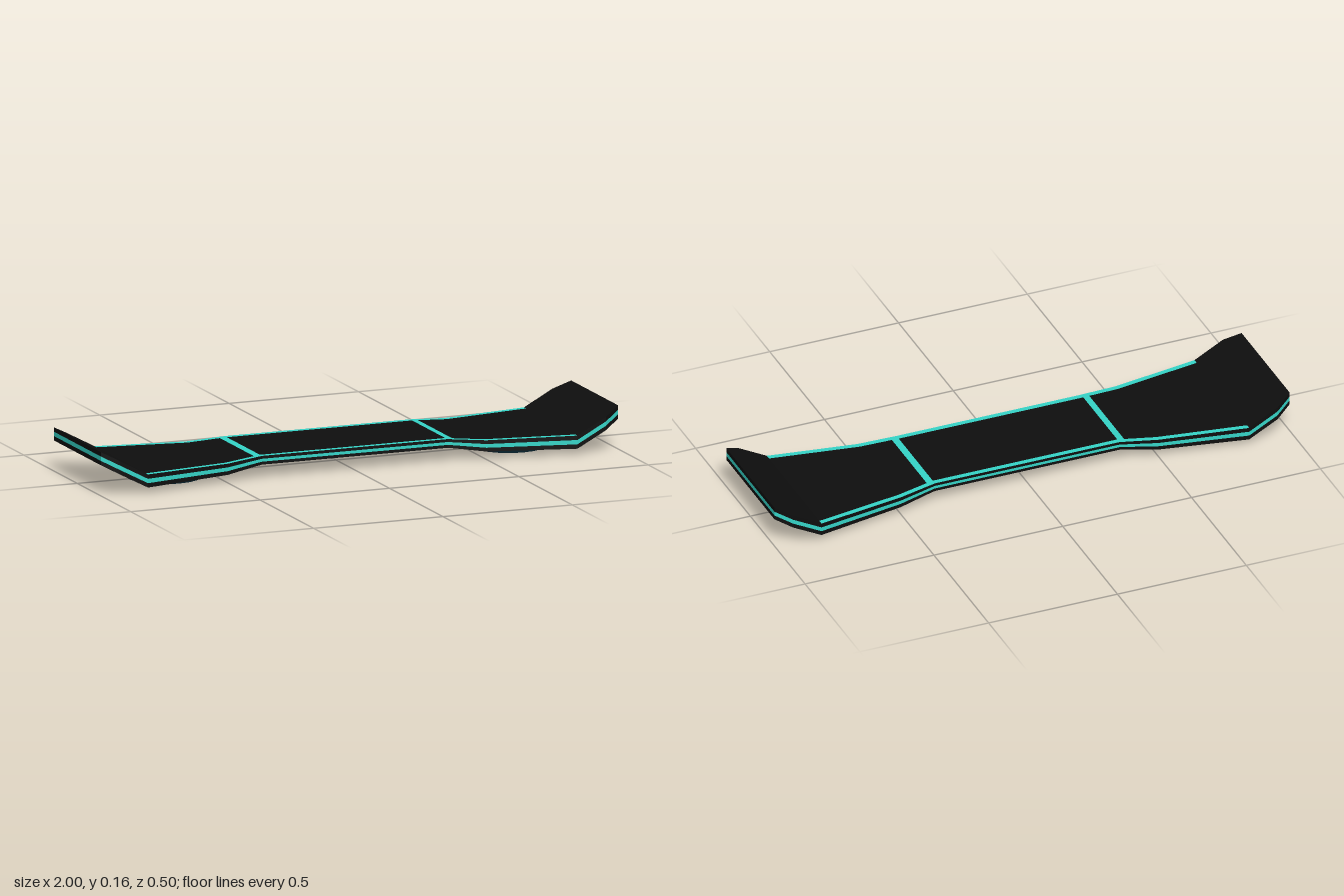
import * as THREE from 'three';

const paint = (color) => new THREE.MeshStandardMaterial({ color, flatShading: true });
const black = paint(0x0e0e0e);
const teal = paint(0x35d5c8);
const darkTeal = paint(0x0d3444);

// Deck cross-sections for x >= 0: x, half width, underside y, top y
const half = [
  [0.358, 0.175, 0.050, 0.082],
  [0.383, 0.179, 0.047, 0.080],
  [0.50, 0.197, 0.029, 0.070],
  [0.83, 0.25, 0.022, 0.070],
  [0.94, 0.25, 0.080, 0.129],
  [1.00, 0.22, 0.112, 0.160],
];
const sections = [...half.map(([x, ...r]) => [-x, ...r]).reverse(), ...half];

// Quads between two polylines of equal length
function strip(a, b) {
  const p = [];
  for (let i = 0; i + 1 < a.length; i++) {
    for (const v of [a[i], a[i + 1], b[i + 1], a[i], b[i + 1], b[i]]) p.push(...v);
  }
  const g = new THREE.BufferGeometry();
  g.setAttribute('position', new THREE.Float32BufferAttribute(p, 3));
  g.computeVertexNormals();
  return g;
}

export function createModel() {
  const group = new THREE.Group();
  const add = (name, geometry, material) => {
    const mesh = new THREE.Mesh(geometry, material);
    mesh.name = name;
    group.add(mesh);
    return mesh;
  };

  // Line along the deck: side is +1 (front) or -1 (back), t is 0 underside to 1 top
  const line = (list, side, t, inset = 0) =>
    list.map(([x, w, lo, hi]) => [x, lo + (hi - lo) * t, side * (w - inset)]);

  // Underside
  add('underside', strip(line(sections, -1, 0), line(sections, 1, 0)), black);

  // Side wall in three bands, the middle one a glowing stripe
  const rim = (t) => {
    const loop = [...line(sections, 1, t), ...line(sections, -1, t).reverse()];
    return [...loop, loop[0]];
  };
  ['lowerRim', 'rimStripe', 'upperRim'].forEach((name, i) =>
    add(name, strip(rim(i / 3), rim((i + 1) / 3)), i === 1 ? teal : black));

  // Top surface: panels, edge stripes and the two cross stripes
  const stripe = 0.02;
  for (let i = 0; i + 1 < sections.length; i++) {
    const pair = [sections[i], sections[i + 1]];
    const mid = Math.abs(pair[0][0] + pair[1][0]) / 2;
    const inset = mid < 0.83 ? stripe : 0;
    const isCross = mid > 0.358 && mid < 0.383;
    add(isCross ? 'crossStripe' : 'topPanel',
      strip(line(pair, 1, 1, inset), line(pair, -1, 1, inset)), isCross ? teal : black);
  }
  const inner = sections.filter(([x]) => Math.abs(x) <= 0.83);
  add('frontEdgeStripe', strip(line(inner, 1, 1), line(inner, 1, 1, stripe)), teal);
  add('backEdgeStripe', strip(line(inner, -1, 1, stripe), line(inner, -1, 1)), teal);

  // Tapered hover pads under each end
  for (const side of [-1, 1]) {
    const name = side > 0 ? 'left' : 'right';
    const wall = add(name + 'PadRing',
      new THREE.CylinderGeometry(0.158, 0.138, 0.032, 20, 1, true), darkTeal);
    wall.position.set(side * 0.665, 0.016, 0.004);
    const cap = add(name + 'PadFace', new THREE.CircleGeometry(0.138, 20), black);
    cap.rotation.set(Math.PI / 2, 0, Math.PI / 2);
    cap.position.set(side * 0.665, 0, 0.004);
  }
  return group;
}
